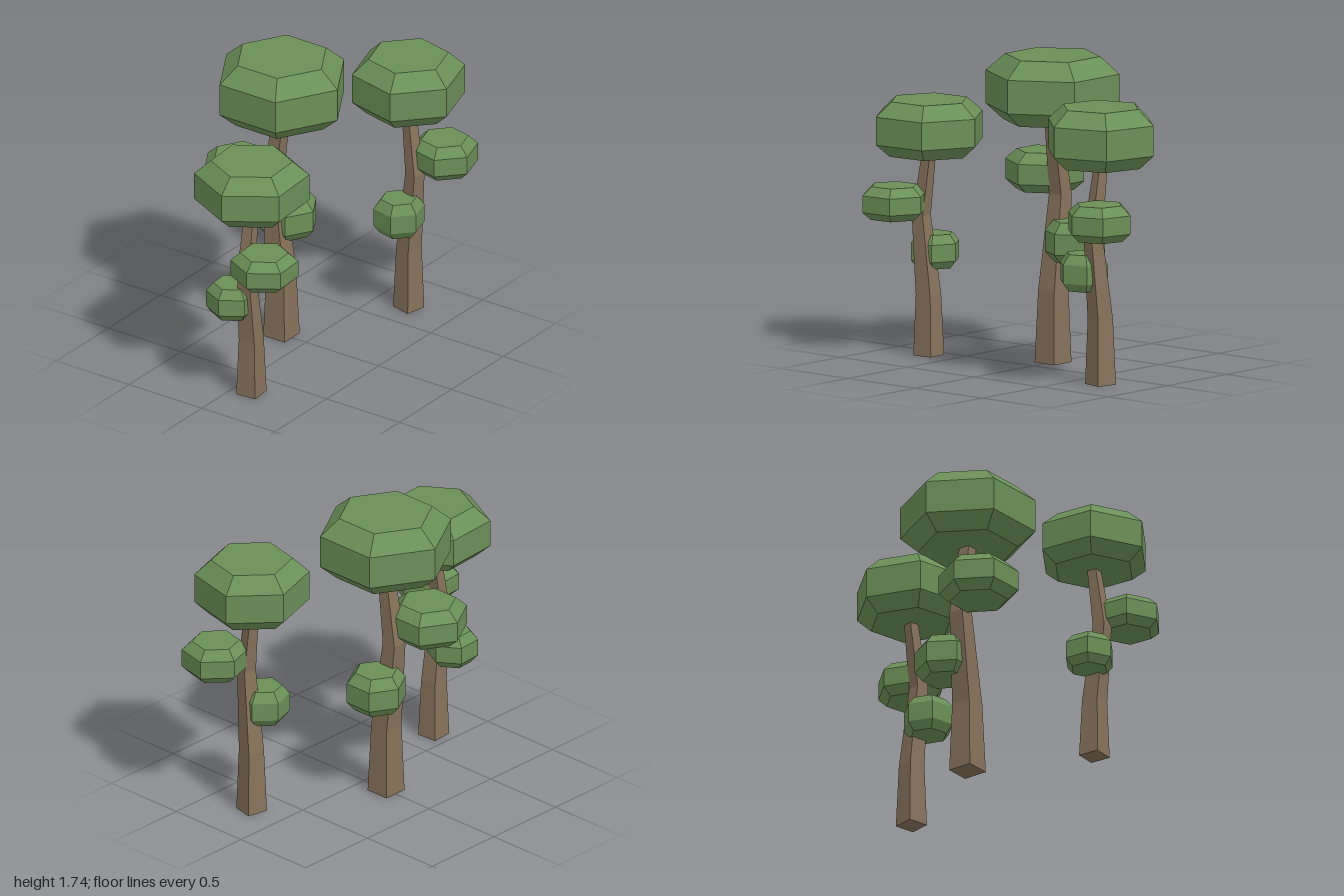
import * as THREE from 'three';

const leafGreen = new THREE.MeshStandardMaterial({ color: 0x6b9058, flatShading: true });
leafGreen.name = 'leaf green';
const barkBrown = new THREE.MeshStandardMaterial({ color: 0x87725b, flatShading: true });
barkBrown.name = 'bark brown';

// Six-sided leaf clump with bevelled top and bottom, a corner pointing along z
function makeClump(name, x, y, z, radius, height) {
  const profile = [[0, 0], [0.74, 0], [1, 0.23], [1, 0.74], [0.71, 1], [0, 1]]
    .map(([r, h]) => new THREE.Vector2(r * radius, (h - 0.5) * height));
  const mesh = new THREE.Mesh(new THREE.LatheGeometry(profile, 6), leafGreen);
  mesh.name = name;
  mesh.position.set(x, y, z);
  return mesh;
}

// Square trunk: each ring gives height, half width and backward bend
function makeTrunk() {
  const rings = [[0, 0.073, 0], [0.41, 0.06, -0.002], [0.95, 0.045, -0.062], [1.42, 0.032, 0.008]];
  const geometry = new THREE.CylinderGeometry(
    Math.SQRT2, Math.SQRT2, 3, 4, 3, false, Math.PI / 4);
  const pos = geometry.attributes.position;
  for (let i = 0; i < pos.count; i++) {
    const [y, half, bend] = rings[Math.round(pos.getY(i) + 1.5)];
    pos.setXYZ(i, pos.getX(i) * half, y, pos.getZ(i) * half + bend);
  }
  geometry.computeVertexNormals();
  const mesh = new THREE.Mesh(geometry, barkBrown);
  mesh.name = 'trunk';
  return mesh;
}

function makeTree(name, x, z, degrees, width, height) {
  const tree = new THREE.Group();
  tree.name = name;
  tree.add(
    makeTrunk(),
    makeClump('crown', 0, 1.557, 0.003, 0.382, 0.373),
    makeClump('upperClump', -0.19, 1.056, -0.145, 0.225, 0.225),
    makeClump('lowerClump', 0.125, 0.698, -0.043, 0.172, 0.231)
  );
  tree.position.set(x, 0, z);
  tree.rotation.y = THREE.MathUtils.degToRad(degrees);
  tree.scale.set(width, height, width);
  return tree;
}

export function createModel() {
  const model = new THREE.Group();
  model.name = 'treeCluster';
  model.add(
    makeTree('middleTree', 0, -0.168, 0, 1, 1),
    makeTree('leftTree', 0.69, 0.213, -193, 0.845, 0.903),
    makeTree('rightTree', -0.68, 0.112, 94, 0.845, 0.832)
  );
  return model;
}
